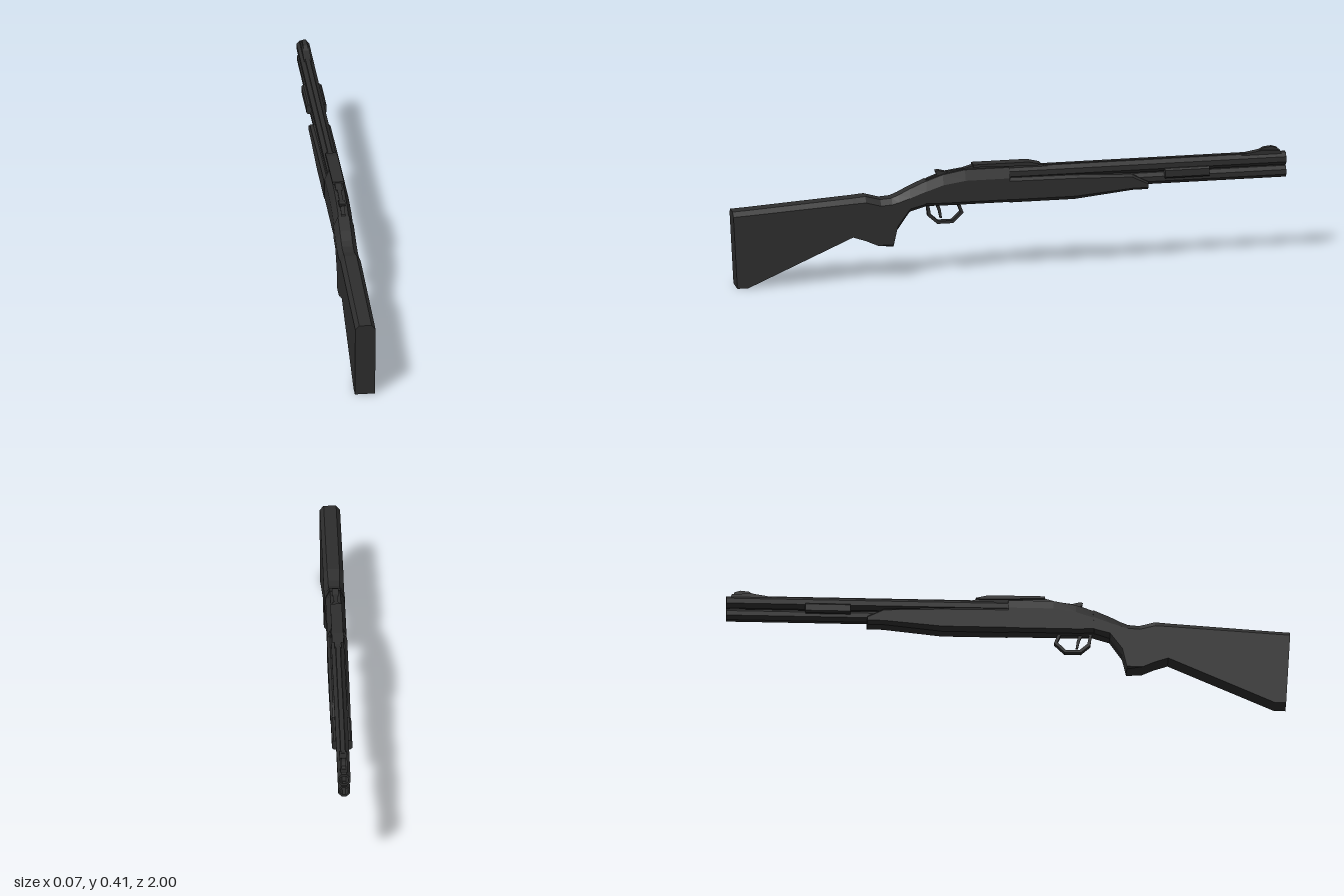
import * as THREE from 'three';

const matte = new THREE.MeshStandardMaterial({ color: 0x2e2e2e });
matte.name = 'matteBlack';

// Loft of chamfered sections running from +z to -z.
// Station: [zTop, yTop, zBottom, yBottom, halfWidth, topHalfWidth, topChamfer, bottomHalfWidth, bottomChamfer]
function loft(stations) {
  const rings = stations.map(([zt, yt, zb, yb, w, tw, tc, bw, bc]) => {
    const side = [[bw, yb], [w, yb + bc], [w, yt - tc], [tw, yt]];
    const ring = [...side, ...side.slice().reverse().map(([x, y]) => [-x, y])];
    return ring.map(([x, y]) => [x, y, zb + (zt - zb) * (y - yb) / (yt - yb)]);
  });
  const n = 8, index = [];
  for (let i = 0; i < rings.length - 1; i++) {
    for (let j = 0; j < n; j++) {
      const a = i * n + j, b = i * n + (j + 1) % n, c = a + n, d = b + n;
      index.push(a, c, b, b, c, d);
    }
  }
  const last = (rings.length - 1) * n;
  for (let j = 1; j < n - 1; j++) {
    index.push(0, j, j + 1, last, last + j + 1, last + j);
  }
  const g = new THREE.BufferGeometry();
  g.setAttribute('position', new THREE.Float32BufferAttribute(rings.flat(2), 3));
  g.setIndex(index);
  const flat = g.toNonIndexed();
  flat.computeVertexNormals();
  return flat;
}

// Side profile of [z, y] points, extruded across x
function plate(points, width, hole) {
  const toVec = ([z, y]) => new THREE.Vector2(-z, y);
  const shape = new THREE.Shape(points.map(toVec));
  if (hole) shape.holes.push(new THREE.Path(hole.map(toVec)));
  const g = new THREE.ExtrudeGeometry(shape, { depth: width, bevelEnabled: false });
  g.translate(0, 0, -width / 2);
  g.rotateY(Math.PI / 2);
  return g;
}

// Eight-sided tube along z with a recessed muzzle
function barrel(r, y, zBack, zFront) {
  const len = zBack - zFront, bore = r * 0.68;
  const profile = [[0, 0], [r, 0], [r, len], [bore, len], [bore, len - 0.06], [0, len - 0.06]]
    .map(([x, h]) => new THREE.Vector2(x, h));
  const g = new THREE.LatheGeometry(profile, 8, Math.PI / 8).toNonIndexed();
  g.computeVertexNormals();
  g.rotateX(-Math.PI / 2);
  g.translate(0, y, zBack);
  return g;
}

function box(w, h, d, x, y, z) {
  return new THREE.BoxGeometry(w, h, d).translate(x, y, z);
}

export function createModel() {
  const model = new THREE.Group();
  const add = (name, geometry) => {
    const mesh = new THREE.Mesh(geometry, matte);
    mesh.name = name;
    model.add(mesh);
  };

  // Shoulder stock and pistol grip
  const W = 0.036;
  add('stock', loft([
    [1.0, 0.28, 0.985, 0, W, 0.022, 0.016, W, 0.001],
    [0.945, 0.283, 0.945, 0, W, 0.022, 0.016, W, 0.001],
    [0.567, 0.307, 0.567, 0.166, W, 0.022, 0.018, W, 0.001],
    [0.52, 0.311, 0.52, 0.15, W, 0.022, 0.02, W, 0.001],
    [0.465, 0.296, 0.476, 0.13, W, 0.02, 0.02, W, 0.002],
    [0.425, 0.299, 0.42, 0.123, W, 0.02, 0.02, 0.03, 0.008],
    [0.40, 0.309, 0.405, 0.18, W, 0.02, 0.024, 0.02, 0.02],
    [0.36, 0.329, 0.36, 0.245, W, 0.02, 0.03, 0.02, 0.015],
    [0.30, 0.355, 0.305, 0.262, W, 0.02, 0.034, 0.022, 0.012],
  ]));

  // Receiver with sloping shoulders
  add('receiver', loft([
    [0.30, 0.353, 0.305, 0.264, 0.034, 0.018, 0.034, 0.022, 0.012],
    [0.24, 0.374, 0.24, 0.262, 0.034, 0.018, 0.034, 0.022, 0.012],
    [0.16, 0.388, 0.16, 0.262, 0.034, 0.018, 0.036, 0.022, 0.012],
    [0.0, 0.388, 0.0, 0.262, 0.034, 0.018, 0.036, 0.022, 0.012],
  ]));

  // Fore-end, tapering to a slanted nose
  add('foreEnd', loft([
    [0.0, 0.352, 0.0, 0.26, W, 0.026, 0.01, 0.022, 0.014],
    [-0.235, 0.35, -0.235, 0.26, W, 0.026, 0.01, 0.022, 0.014],
    [-0.44, 0.341, -0.445, 0.282, W, 0.026, 0.008, 0.022, 0.01],
    [-0.50, 0.31, -0.50, 0.282, W, 0.03, 0.006, 0.022, 0.01],
  ]));

  // Stacked barrels, sighting rib and band
  add('upperBarrel', barrel(0.0245, 0.364, 0.02, -1));
  add('lowerBarrel', barrel(0.0225, 0.317, 0.02, -1));
  add('barrelRib', box(0.016, 0.012, 0.86, 0, 0.384, -0.43));
  add('barrelBand', loft([
    [-0.56, 0.356, -0.56, 0.32, W, 0.03, 0.006, 0.03, 0.006],
    [-0.72, 0.356, -0.72, 0.32, W, 0.03, 0.006, 0.03, 0.006],
  ]));
  add('muzzleSpacer', box(0.014, 0.02, 0.03, 0, 0.34, -0.97));

  // Top rail and its narrower foot
  add('railFoot', plate([[0.165, 0.38], [0.165, 0.39], [0.13, 0.4], [-0.08, 0.4], [-0.14, 0.385], [-0.14, 0.38]], 0.024));
  add('topRail', plate([[0.13, 0.396], [0.13, 0.405], [-0.07, 0.405], [-0.115, 0.394], [-0.1, 0.39]], 0.041));

  // Front sight on its ramp
  add('sightRamp', plate([[-0.84, 0.38], [-0.84, 0.386], [-0.91, 0.398], [-0.98, 0.394], [-0.985, 0.38]], 0.026));
  add('frontSight', plate([[-0.89, 0.39], [-0.92, 0.407], [-0.95, 0.41], [-0.97, 0.404], [-0.975, 0.39]], 0.016));

  // Hammer and top lever
  add('hammer', plate([[0.235, 0.36], [0.262, 0.376], [0.265, 0.386], [0.255, 0.389], [0.215, 0.378], [0.19, 0.37]], 0.022));
  add('topLever', plate([[0.30, 0.345], [0.295, 0.36], [0.235, 0.382], [0.16, 0.392], [0.16, 0.37]], 0.014));

  // Trigger and faceted guard
  add('triggerGuard', plate(
    [[0.298, 0.268], [0.292, 0.222], [0.258, 0.192], [0.2, 0.192], [0.163, 0.228], [0.178, 0.268]], 0.022,
    [[0.287, 0.26], [0.281, 0.227], [0.253, 0.202], [0.204, 0.202], [0.175, 0.231], [0.187, 0.26]]));
  add('trigger', plate([[0.266, 0.268], [0.254, 0.238], [0.248, 0.212], [0.24, 0.212], [0.244, 0.24], [0.252, 0.268]], 0.01));

  return model;
}
